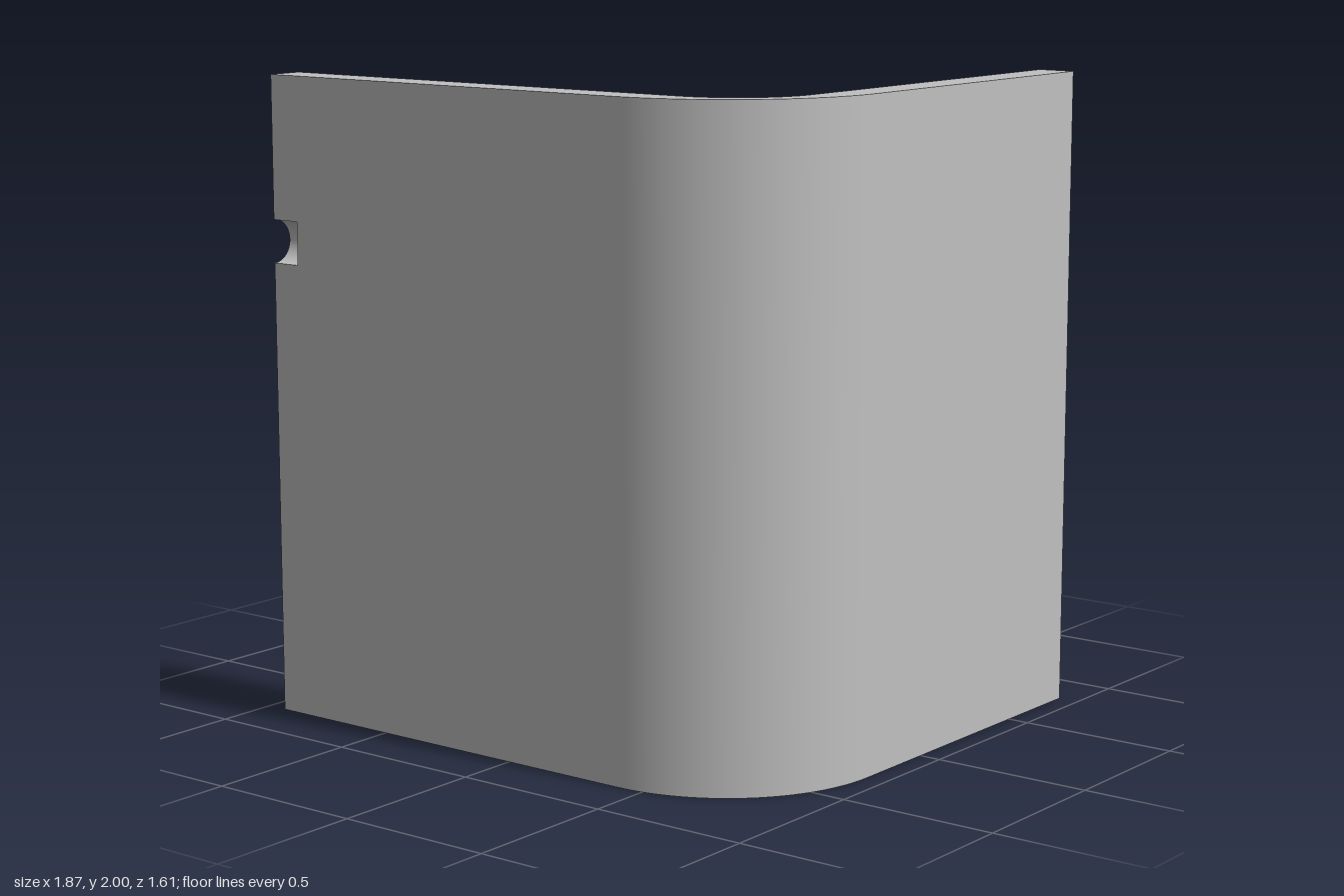
import * as THREE from 'three';

const CX = 0.548, CZ = 0.42;             // shared centre of the inner bends
const OUT = 0.385, OUT_R = 0.52;         // outer face offset and its larger bend radius
const X_END = -0.933, X_CUT = -0.835, Z_END = -0.805;
const NOTCH_Y = 1.488, NOTCH_R = 0.067;

// Wall section as [offset from bend centre, height]: lip, thick band, thin band
const PROFILE = [
  [OUT, 0], [0.1, 0], [0.1, 0.07], [0.203, 0.07],
  [0.203, 0.826], [0.265, 0.826], [0.265, 2], [OUT, 2],
];

// Plan position at a bend angle; the outer face has its own centre
function bendPoint(offset, angle) {
  const r = offset === OUT ? OUT_R : offset;
  const shift = offset - r;
  return [CX + shift + r * Math.sin(angle), CZ + shift + r * Math.cos(angle)];
}

// Section swept along the front leg, round the bend and along the side leg
function sweepGeometry(steps = 32) {
  const pos = [], nor = [], idx = [];
  for (let i = 0; i < PROFILE.length; i++) {
    const a = PROFILE[i], b = PROFILE[(i + 1) % PROFILE.length];
    const side = -Math.sign(b[1] - a[1]);
    const up = side === 0 ? Math.sign(b[0] - a[0]) : 0;
    const base = pos.length / 3;
    for (let j = -1; j <= steps + 1; j++) {
      const t = THREE.MathUtils.clamp(j / steps, 0, 1) * Math.PI / 2;
      for (const [offset, y] of [a, b]) {
        let [x, z] = bendPoint(offset, t);
        if (j < 0) x = X_CUT;
        if (j > steps) z = Z_END;
        pos.push(x, y, z);
        nor.push(side * Math.sin(t), up, side * Math.cos(t));
      }
    }
    for (let j = 0; j < steps + 2; j++) {
      const k = base + j * 2;
      idx.push(k, k + 1, k + 2, k + 2, k + 1, k + 3);
    }
  }
  const g = new THREE.BufferGeometry();
  g.setAttribute('position', new THREE.Float32BufferAttribute(pos, 3));
  g.setAttribute('normal', new THREE.Float32BufferAttribute(nor, 3));
  g.setIndex(idx);
  return g;
}

// Section outline, optionally with a half-round bite in the outer face
function sectionShape(toU, notched) {
  const s = new THREE.Shape();
  PROFILE.forEach(([r, y], i) => (i ? s.lineTo(toU(r), y) : s.moveTo(toU(r), y)));
  if (notched) {
    s.lineTo(toU(OUT), NOTCH_Y + NOTCH_R);
    s.absarc(toU(OUT), NOTCH_Y, NOTCH_R, Math.PI / 2, Math.PI * 1.5, false);
  }
  s.closePath();
  return s;
}

export function createModel() {
  const group = new THREE.Group();
  group.name = 'cornerTrim';
  const grey = new THREE.MeshStandardMaterial({ color: 0xc0c0c0 });
  grey.name = 'lightGrey';
  const add = (name, geometry) => {
    const m = new THREE.Mesh(geometry, grey);
    m.name = name;
    group.add(m);
  };

  add('bentWall', sweepGeometry());

  // End face of the side leg
  const back = new THREE.ShapeGeometry(sectionShape(r => -(CX + r), false));
  add('sideLegEnd', back.rotateY(Math.PI).translate(0, 0, Z_END));

  // Face that closes the inner end of the notch
  const inner = new THREE.ShapeGeometry(sectionShape(r => CZ + r, false));
  add('notchEndWall', inner.rotateY(-Math.PI / 2).translate(X_CUT, 0, 0));

  // Free end of the front leg with the half-round notch
  const end = new THREE.ExtrudeGeometry(sectionShape(r => CZ + r, true), {
    depth: X_CUT - X_END, bevelEnabled: false, curveSegments: 24,
  });
  add('notchedEnd', end.rotateY(-Math.PI / 2).translate(X_CUT, 0, 0));

  return group;
}
